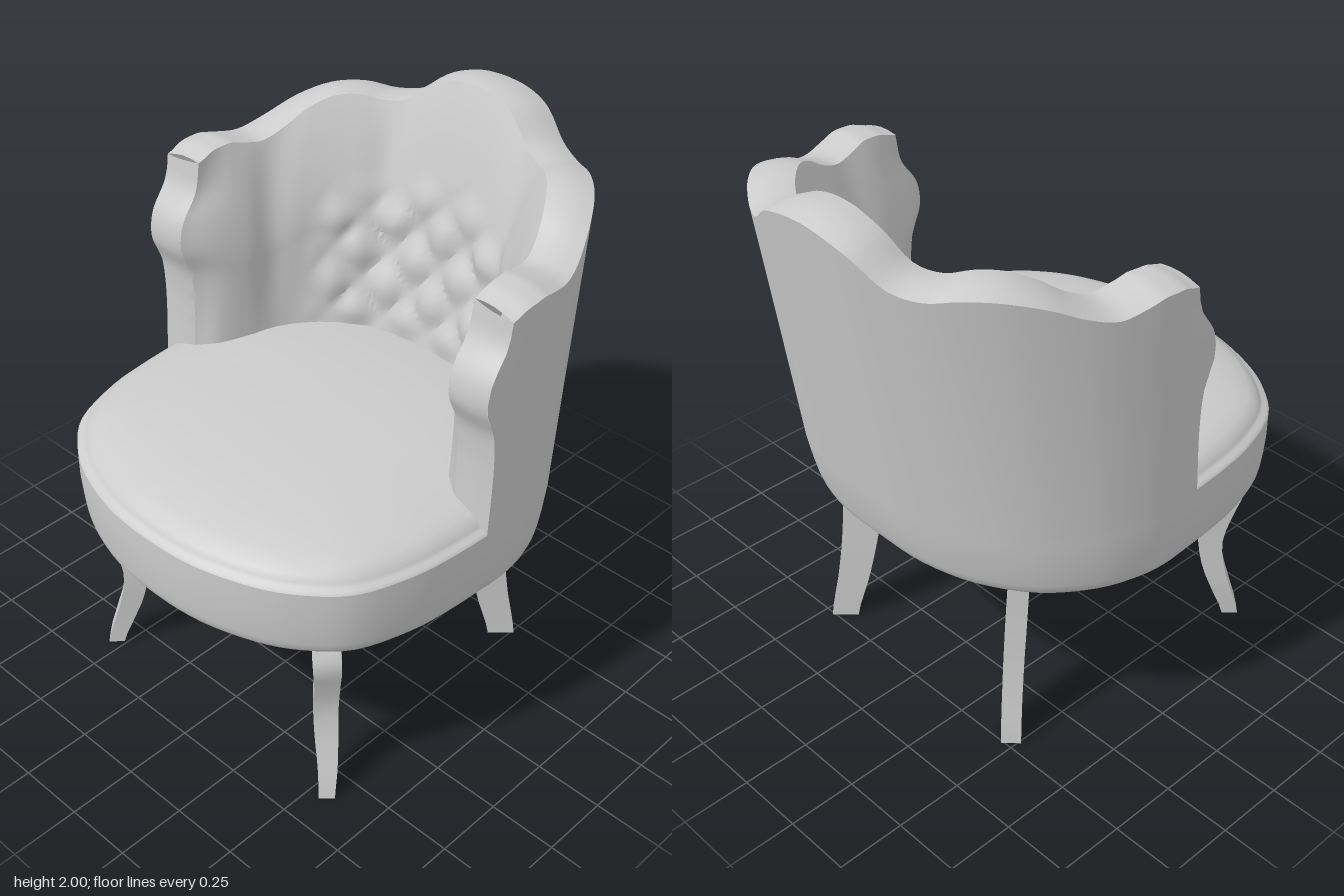
import * as THREE from 'three';
import { mergeGeometries, toCreasedNormals } from 'three/addons/utils/BufferGeometryUtils.js';

const { lerp, smoothstep, clamp } = THREE.MathUtils;
const material = new THREE.MeshStandardMaterial({ color: 0xcccccc, side: THREE.DoubleSide });

// Grid surface from fn(u, v) -> [x, y, z]
function grid(nu, nv, fn) {
  const pos = [], index = [];
  for (let j = 0; j <= nv; j++)
    for (let i = 0; i <= nu; i++) pos.push(...fn(i / nu, j / nv));
  for (let j = 0; j < nv; j++)
    for (let i = 0; i < nu; i++) {
      const a = j * (nu + 1) + i, b = a + 1, c = a + nu + 1, d = c + 1;
      index.push(a, b, d, a, d, c);
    }
  const g = new THREE.BufferGeometry();
  g.setAttribute('position', new THREE.Float32BufferAttribute(pos, 3));
  g.setIndex(index);
  return g;
}

function addMesh(parent, name, geometry, crease = 0.7) {
  const mesh = new THREE.Mesh(toCreasedNormals(geometry, crease), material);
  mesh.name = name;
  parent.add(mesh);
  return mesh;
}

// Smooth curve through evenly spaced values, sampled on 0..1
function spline(values) {
  const curve = new THREE.SplineCurve(values.map((v, i) => new THREE.Vector2(i, v)));
  return t => curve.getPoint(clamp(t, 0, 1)).y;
}
const planCurve = (pts, closed = false) =>
  new THREE.CatmullRomCurve3(pts.map(([x, z]) => new THREE.Vector3(x, 0, z)), closed, 'catmullrom');

// Plan outline, half of it from the back centre round to the front centre
const half = [[0, -.85], [.2, -.84], [.4, -.765], [.58, -.61], [.7, -.4], [.755, -.2], [.77, -.05], [.765, .08],
  [.755, .22], [.73, .38], [.66, .57], [.54, .69], [.4, .77], [.2, .83], [0, .845]];
const outline = planCurve([...half, ...half.slice(1, -1).reverse().map(([x, z]) => [-x, z])], true);

// Outer surface at outline station i (0 = back, 7 = arm end, 14 = front); the back leans with height
function outer(i, y) {
  const p = outline.getPoint((((i % 28) + 28) % 28) / 28);
  if (p.z < 0) p.z *= lerp(.745, 1, (y - .7) / 1.27);
  return [p.x, y, p.z];
}

// Ring loft: profile points are [scale, height]
const CZ = .1;
function loft(profile) {
  return grid(112, profile.length - 1, (u, v) => {
    const [s, y] = profile[Math.round(v * (profile.length - 1))];
    const [x, , z] = outer(-28 * u, y);
    return [x * s, y, CZ + (z - CZ) * s];
  });
}

// Inner faces of the wraparound back at seat, middle and rim height
const innerLow = planCurve([[0, -.45], [.14, -.44], [.27, -.4], [.38, -.31], [.46, -.2], [.5, -.08], [.55, .03], [.62, .08]]);
const innerMid = planCurve([[0, -.56], [.15, -.55], [.29, -.48], [.4, -.38], [.47, -.25], [.5, -.1], [.54, 0], [.61, .08]]);
const innerTop = planCurve([[0, -.69], [.17, -.68], [.34, -.61], [.47, -.49], [.555, -.34], [.595, -.18], [.61, -.05], [.61, .08]]);
// Scalloped rim height, and the wavy front edge of the arms
const rim = spline([2, 1.99, 1.955, 1.88, 1.862, 1.88, 1.875, 1.84, 1.785, 1.752, 1.765, 1.78, 1.78, 1.775, 1.755]);
const armEdge = spline([.08, .075, .07, .07, .08, .118, .105, .04, .02, 0]);
const rimAt = i => rim(Math.abs(i) / 7);
const wave = (i, y) => (armEdge((y - .95) / .9) - .08) * smoothstep(Math.abs(i), 4.8, 7);

function shellOuter(i, t) {
  const y = lerp(.95, rimAt(i) - .018, t);
  const p = outer(i, y);
  p[2] += wave(i, y);
  return p;
}

function shellInner(i, t) {
  const a = Math.abs(i), y = lerp(.95, rimAt(i), t);
  const p = t < .5
    ? innerLow.getPoint(a / 7).lerp(innerMid.getPoint(a / 7), t * 2)
    : innerMid.getPoint(a / 7).lerp(innerTop.getPoint(a / 7), (t * 2 - 1) ** 1.6);
  // diamond tufting in the middle, shallow grooves running down from the rim notches
  const m = i / 1.4, n = (y - 1.1) / .25;
  const tuft = Math.abs(Math.sin(Math.PI * (m + n)) * Math.sin(Math.PI * (m - n)))
    * (1 - smoothstep(a, 2.4, 3.6)) * smoothstep(t, .05, .2) * (1 - smoothstep(t, .5, .75));
  const groove = (Math.exp(-(((a - 1.75) / .35) ** 2)) + Math.exp(-(((a - 4.4) / .4) ** 2)))
    * Math.sin(Math.PI * t) * t;
  const s = 1 - .05 * tuft + .05 * groove;
  return [p.x * Math.sign(i) * s, y, CZ + (p.z - CZ) * s + wave(i, y)];
}

function between(p, q, k, bulge) {
  return p.map((c, n) => lerp(c, q[n], k) + bulge[n] * Math.sin(Math.PI * k));
}

function backShell() {
  const N = 112, station = u => 7 - 14 * u;
  const armEnd = side => grid(4, 36, (u, v) =>
    between(shellInner(7 * side, v), shellOuter(7 * side, v), side > 0 ? u : 1 - u, [0, 0, .008]));
  return mergeGeometries([
    grid(N, 16, (u, v) => shellOuter(station(u), v)),
    grid(N, 4, (u, v) => between(shellOuter(station(u), 1), shellInner(station(u), 1), v, [0, .012, 0])),
    grid(N, 44, (u, v) => shellInner(station(u), 1 - v)),
    armEnd(1), armEnd(-1),
  ]);
}

// Square curved leg turned to face diagonally; rows are [x, z, width, depth] at even heights
function leg(rows, angle, height) {
  const [X, Z, W, D] = [0, 1, 2, 3].map(k => spline(rows.map(r => r[k])));
  const steps = 14;
  return grid(4, steps + 1, (u, v) => {
    const row = Math.round(v * (steps + 1));
    const t = Math.max(0, row - 1) / steps;
    const k = row === 0 ? 0 : Math.SQRT1_2; // first row closes the foot
    const a = u * Math.PI * 2 + Math.PI / 4;
    const d = Math.cos(a) * k * D(t), w = -Math.sin(a) * k * W(t);
    const c = Math.cos(angle), s = Math.sin(angle);
    return [X(t) + d * c - w * s, t * height, Z(t) + d * s + w * c];
  });
}

export function createModel() {
  const chair = new THREE.Group();
  chair.name = 'chair';

  addMesh(chair, 'seatBase', loft([[0, .695], [.5, .695], [.95, .695], [.968, .7], [.98, .715], [.986, .74],
    [.994, .8], [1, .87], [1, .92], [1, .955]]));
  addMesh(chair, 'seatCushion', loft([[1, .955], [.99, .966], [.97, .968], [.96, .98], [.945, .998], [.91, 1.015],
    [.85, 1.032], [.75, 1.05], [.62, 1.066], [.48, 1.078], [.32, 1.086], [.16, 1.09], [0, 1.091]]), 0.9);
  addMesh(chair, 'wraparoundBack', backShell());

  const frontRows = [[.55, .595, .055, .058], [.525, .565, .068, .07], [.495, .54, .08, .08], [.483, .53, .085, .085],
    [.505, .545, .085, .085], [.525, .565, .095, .09], [.48, .53, .09, .085]];
  const backRows = [[.45, -.45, .07, .098], [.425, -.42, .07, .115], [.408, -.393, .07, .13], [.4, -.372, .07, .145],
    [.398, -.36, .07, .15]];
  const front = leg(frontRows, Math.PI / 4, .71), back = leg(backRows, -Math.PI / 4, .71);
  for (const [side, sx] of [['Left', 1], ['Right', -1]]) {
    addMesh(chair, 'front' + side + 'Leg', front).scale.x = sx;
    addMesh(chair, 'back' + side + 'Leg', back).scale.x = sx;
  }
  return chair;
}
